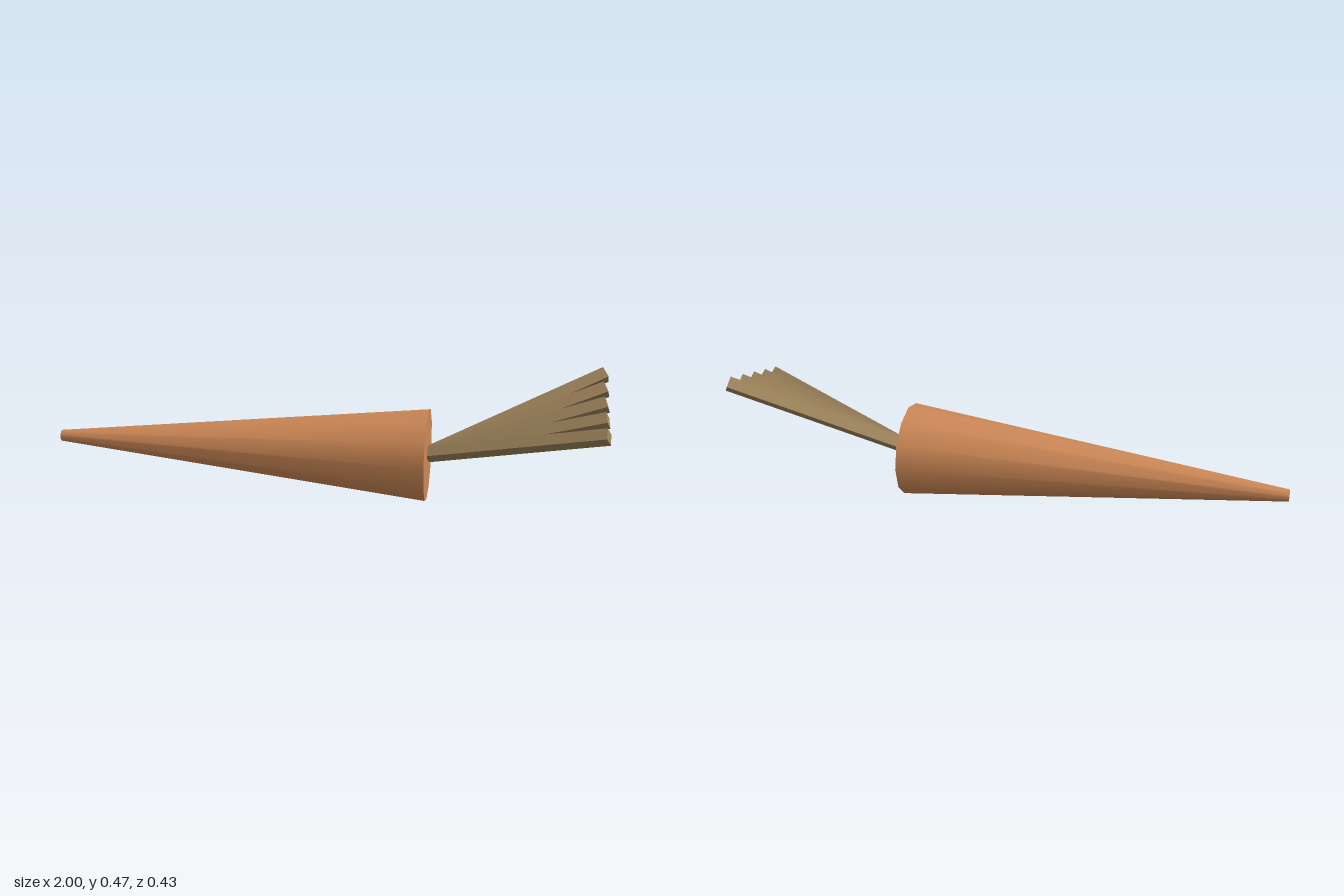
import * as THREE from 'three';

export function createModel() {
  const group = new THREE.Group();
  const orange = new THREE.MeshStandardMaterial({ color: 0xcd8856 });
  orange.name = 'carrotOrange';
  const khaki = new THREE.MeshStandardMaterial({ color: 0x9c825a, flatShading: true });
  khaki.name = 'stemKhaki';

  // Tapered twelve-sided root lying along x, wide end towards +x
  const radius = 0.168, length = 1.375;
  const rootGeometry = new THREE.CylinderGeometry(radius, 0.021, length, 12);
  rootGeometry.rotateZ(-Math.PI / 2);
  const root = new THREE.Mesh(rootGeometry, orange);
  root.name = 'root';
  root.position.set(-1 + length / 2, radius, 0);
  group.add(root);

  // Five square stems fanning out from the middle of the wide end
  const stems = new THREE.Group();
  stems.name = 'stems';
  const start = new THREE.Vector3(0.375, 0.17, 0);
  for (let i = -2; i <= 2; i++) {
    const end = new THREE.Vector3(0.986, 0.383 - i * 0.0305, i * 0.092);
    const geometry = new THREE.CylinderGeometry(0.03, 0.03, start.distanceTo(end), 4);
    geometry.rotateX(Math.PI / 2);
    const stem = new THREE.Mesh(geometry, khaki);
    stem.name = 'stem' + (i + 3);
    stem.position.copy(start).lerp(end, 0.5);
    stem.lookAt(end);
    stems.add(stem);
  }
  group.add(stems);

  return group;
}
